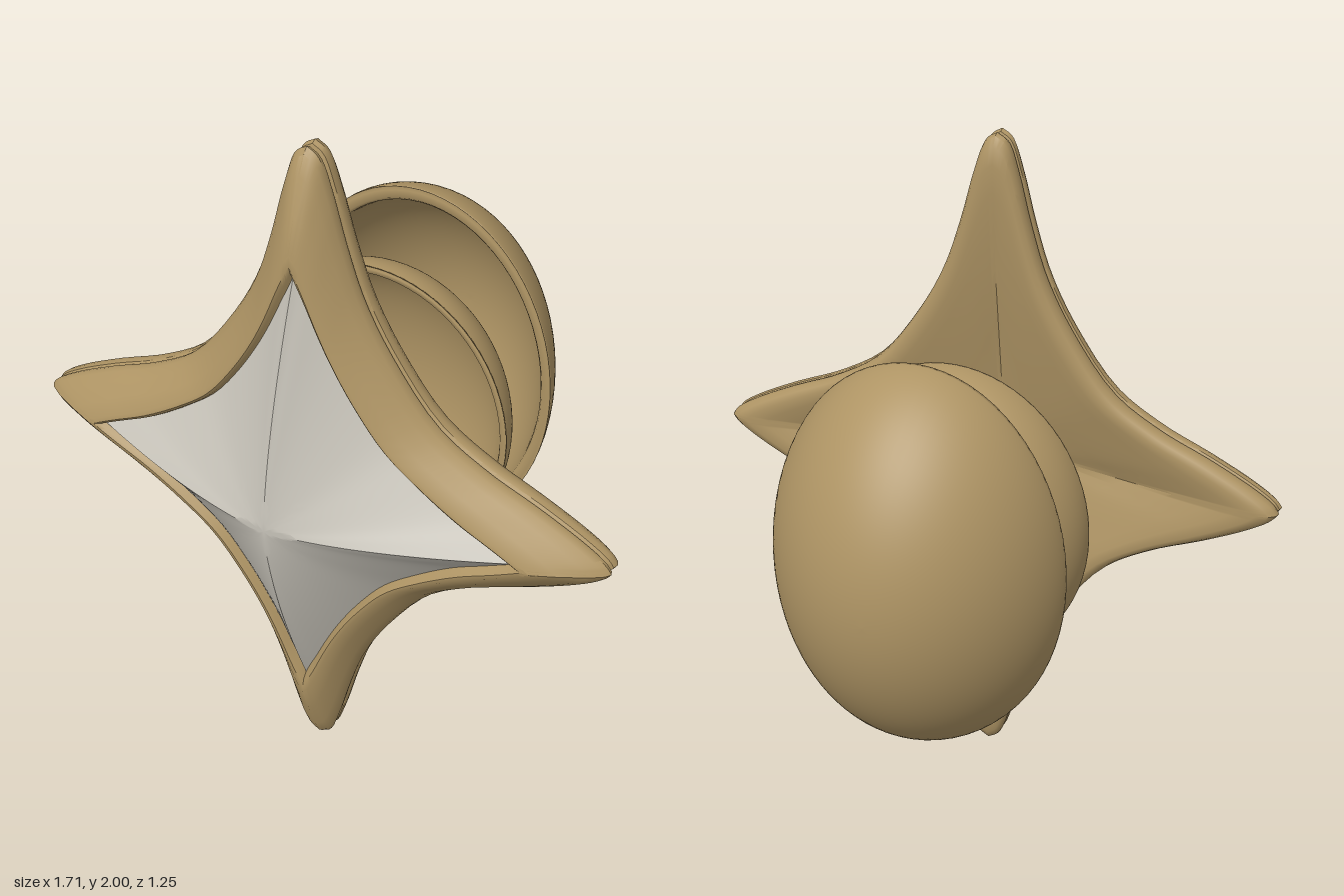
import * as THREE from 'three';
import { toCreasedNormals } from 'three/addons/utils/BufferGeometryUtils.js';

// Quarter outlines, from the side tip to the top tip
const OUTER = [[.855, 0], [.84, .02], [.78, .06], [.65, .125], [.5, .19], [.36, .28],
  [.23, .45], [.15, .6], [.1, .75], [.06, .9], [.03, .98], [0, 1]];
const INNER = [[.62, 0], [.59, .015], [.54, .04], [.45, .085], [.34, .16], [.25, .235],
  [.17, .34], [.11, .44], [.07, .52], [.035, .6], [.012, .65], [0, .68]];

// Mirrors a quarter outline into a full counter-clockwise star
function starRing(points) {
  const curve = new THREE.CatmullRomCurve3(points.map(([x, y]) => new THREE.Vector3(x, y, 0)));
  const q = curve.getPoints(40);
  const ring = [];
  const n = q.length - 1;
  for (let i = 0; i < n; i++) ring.push([q[i].x, q[i].y]);
  for (let i = n; i > 0; i--) ring.push([-q[i].x, q[i].y]);
  for (let i = 0; i < n; i++) ring.push([-q[i].x, -q[i].y]);
  for (let i = n; i > 0; i--) ring.push([q[i].x, -q[i].y]);
  return ring;
}

const outerRing = starRing(OUTER);
const innerRing = starRing(INNER);

// Sections are [inset from outer (0) to inner (1) outline, z, scale]
function loftStar(sections, crease) {
  const pos = [], index = [], n = outerRing.length;
  sections.forEach(([t, z, k = 1], r) => {
    for (let i = 0; i < n; i++) {
      const o = outerRing[i], g = innerRing[i];
      pos.push((o[0] + (g[0] - o[0]) * t) * k, (o[1] + (g[1] - o[1]) * t) * k, z);
      if (r === 0) continue;
      const a = (r - 1) * n + i, b = (r - 1) * n + (i + 1) % n;
      const c = r * n + (i + 1) % n, d = r * n + i;
      if (sections[r - 1][2] !== 0) index.push(a, b, c);
      if (k !== 0) index.push(a, c, d);
      else continue;
      if (sections[r - 1][2] === 0) continue;
    }
  });
  const geo = new THREE.BufferGeometry();
  geo.setAttribute('position', new THREE.Float32BufferAttribute(pos, 3));
  geo.setIndex(index);
  return toCreasedNormals(geo, crease);
}

// Turns a [radius, depth] profile into an oval shell opening to the front
function ovalLathe(profile, rx, ry, z) {
  const geo = new THREE.LatheGeometry(profile.map(([r, d]) => new THREE.Vector2(r, d)), 72);
  geo.rotateX(-Math.PI / 2);
  geo.scale(rx, ry, 1);
  geo.translate(0, 0.985, z);
  return geo;
}

// Dome outside from radius fraction r0 in to the centre
function domeProfile(depth, power, r0, r1, steps = 28) {
  const a0 = Math.acos(r0), a1 = Math.acos(r1);
  return Array.from({ length: steps + 1 }, (_, i) => {
    const a = a0 + (a1 - a0) * i / steps;
    return [Math.max(0, Math.cos(a)), depth * Math.pow(Math.sin(a), power * 2)];
  });
}

// Hollow inside followed by the rounded rim
function cavityProfile(depth, power, wall) {
  const inside = domeProfile(depth - 0.03, power, 1, 0).reverse()
    .map(([r, d]) => [r * (1 - wall), Math.max(d, 0.012)]);
  return [...inside, [1 - wall * 0.8, 0.002], [1 - wall * 0.25, 0], [0.995, 0.008]];
}

export function createModel() {
  const gold = new THREE.MeshStandardMaterial({ color: 0xae9464 });
  gold.name = 'gold';
  const darkGold = new THREE.MeshStandardMaterial({ color: 0x86683c });
  darkGold.name = 'dark gold';
  const pearl = new THREE.MeshStandardMaterial({ color: 0xc6c2b8 });
  pearl.name = 'pearl';

  const model = new THREE.Group();
  model.name = 'starEarring';
  const add = (name, geometry, material) => {
    const mesh = new THREE.Mesh(geometry, material);
    mesh.name = name;
    model.add(mesh);
    return mesh;
  };

  // Star setting: dished back, rounded rim, seam groove and sloped bezel
  add('starSetting', loftStar([
    [1, .4, 0], [1, .395, .2], [1, .375, .4], [1, .345, .65], [1, .318, .88],
    [.8, .298], [.5, .287], [.25, .283], [.1, .29], [.02, .305], [0, .32], [.02, .333],
    [.1, .34], [.02, .347], [0, .36], [.05, .375], [.2, .398], [.5, .432],
    [.78, .46], [.88, .462], [.95, .455], [1, .44], [1, .43, .96],
  ], 0.7), gold).position.y = 1;

  // Domed star stone with soft ridges
  const stone = [];
  for (let i = 0; i <= 20; i++) {
    const s = 1 - i / 20;
    stone.push([1, 0.44 + 0.19 * (1 - Math.pow(s, 1.45)), s]);
  }
  add('starStone', loftStar(stone, 0.7), pearl).position.y = 1;

  // Small hollow dome behind the star, darker towards its back
  const split = 0.87;
  add('innerCup', ovalLathe([...cavityProfile(0.275, 0.5, 0.06),
    ...domeProfile(0.275, 0.5, 1, split)], 0.4, 0.465, 0.01), gold);
  add('innerCupBack', ovalLathe(domeProfile(0.275, 0.5, split, 0), 0.4, 0.465, 0.01), darkGold);

  // Large hollow dome at the rear
  add('outerCup', ovalLathe([...cavityProfile(0.385, 0.65, 0.08),
    ...domeProfile(0.385, 0.65, 1, 0)], 0.42, 0.575, -0.24), gold);

  return model;
}
